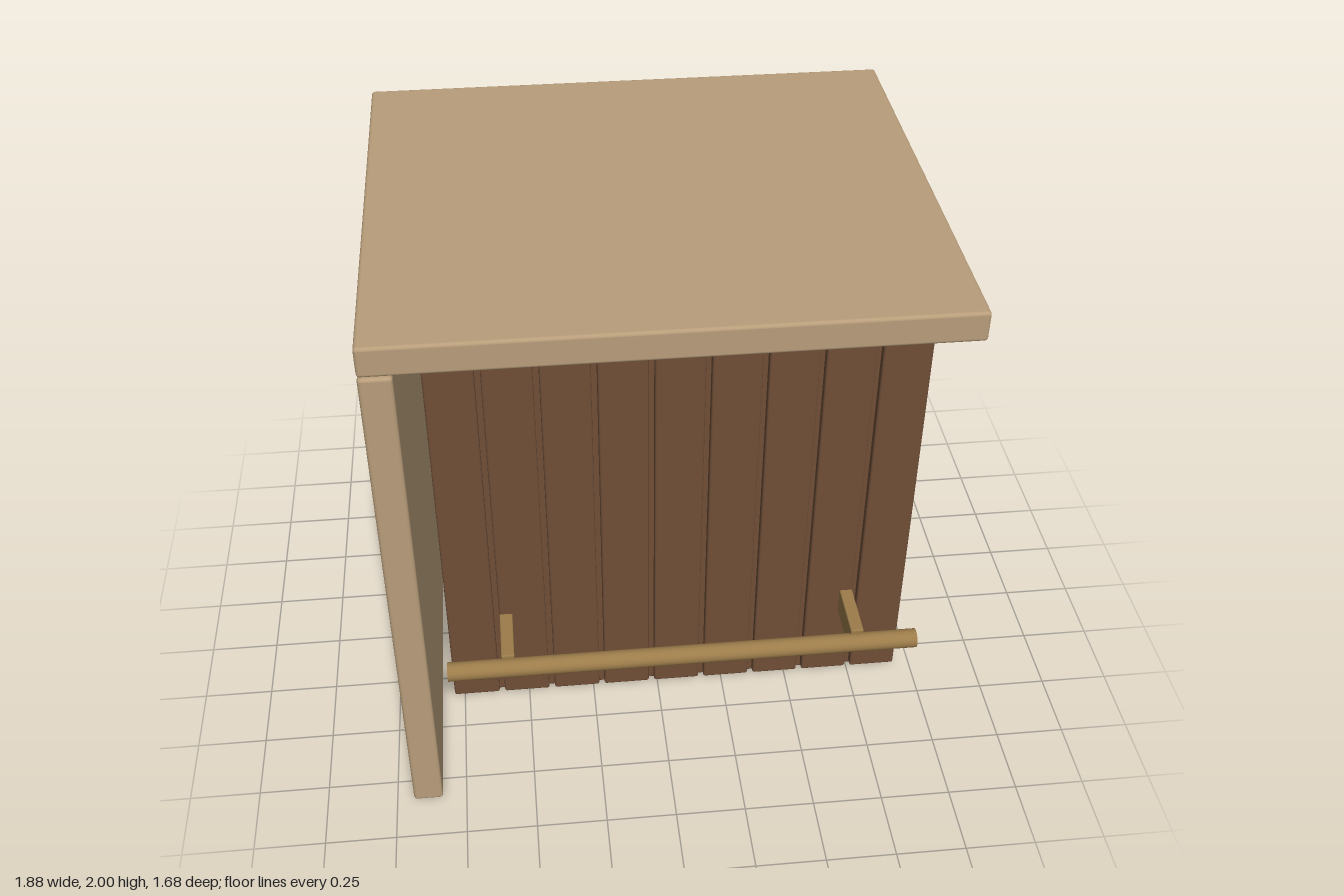
import * as THREE from 'three';
import { RoundedBoxGeometry } from 'three/addons/geometries/RoundedBoxGeometry.js';

const stone = new THREE.MeshStandardMaterial({ color: 0xb89d7a });
const wood = new THREE.MeshStandardMaterial({ color: 0x6f4e37 });
const brass = new THREE.MeshStandardMaterial({ color: 0x9c7c4a });

export function createModel() {
  const group = new THREE.Group();

  // Softly bevelled block given by its min and max on each axis
  const block = (name, material, [x0, x1], [y0, y1], [z0, z1], bevel = 0.012) => {
    const geometry = new RoundedBoxGeometry(x1 - x0, y1 - y0, z1 - z0, 2, bevel);
    const mesh = new THREE.Mesh(geometry, material);
    mesh.position.set((x0 + x1) / 2, (y0 + y1) / 2, (z0 + z1) / 2);
    mesh.name = name;
    group.add(mesh);
    return mesh;
  };

  // Counter slab and the end panel that carries it
  block('counterTop', stone, [-0.94, 0.94], [1.895, 2], [-0.82, 0.84]);
  block('endPanel', stone, [-0.94, -0.835], [0, 1.89], [-0.82, 0.84]);

  // Cabinet body with a work shelf let into its back
  const left = 0.935, right = -0.79, middle = (left + right) / 2;
  block('body', wood, [right, left], [0.005, 1.85], [-0.61, 0.33]);
  block('backShelf', stone, [right + 0.001, left - 0.001], [1.71, 1.775], [-0.84, -0.43], 0.008);

  // Vertical slats across the front
  const count = 9, pitch = 0.1935, width = 0.173;
  for (let i = 0; i < count; i++) {
    const x = middle + (i - (count - 1) / 2) * pitch;
    block('frontSlat', wood, [x - width / 2, x + width / 2], [0.02, 1.76], [0.32, 0.36], 0.008);
  }

  // Foot rail on two brackets
  const rail = new THREE.Mesh(new THREE.CylinderGeometry(0.035, 0.035, left - right, 24), brass);
  rail.name = 'footRail';
  rail.rotation.z = Math.PI / 2;
  rail.position.set(middle, 0.38, 0.58);
  group.add(rail);
  for (const side of [-1, 1]) {
    const x = middle + side * 0.642;
    block('railBracket', brass, [x - 0.024, x + 0.024], [0.327, 0.435], [0.34, 0.575], 0.005);
  }

  return group;
}
